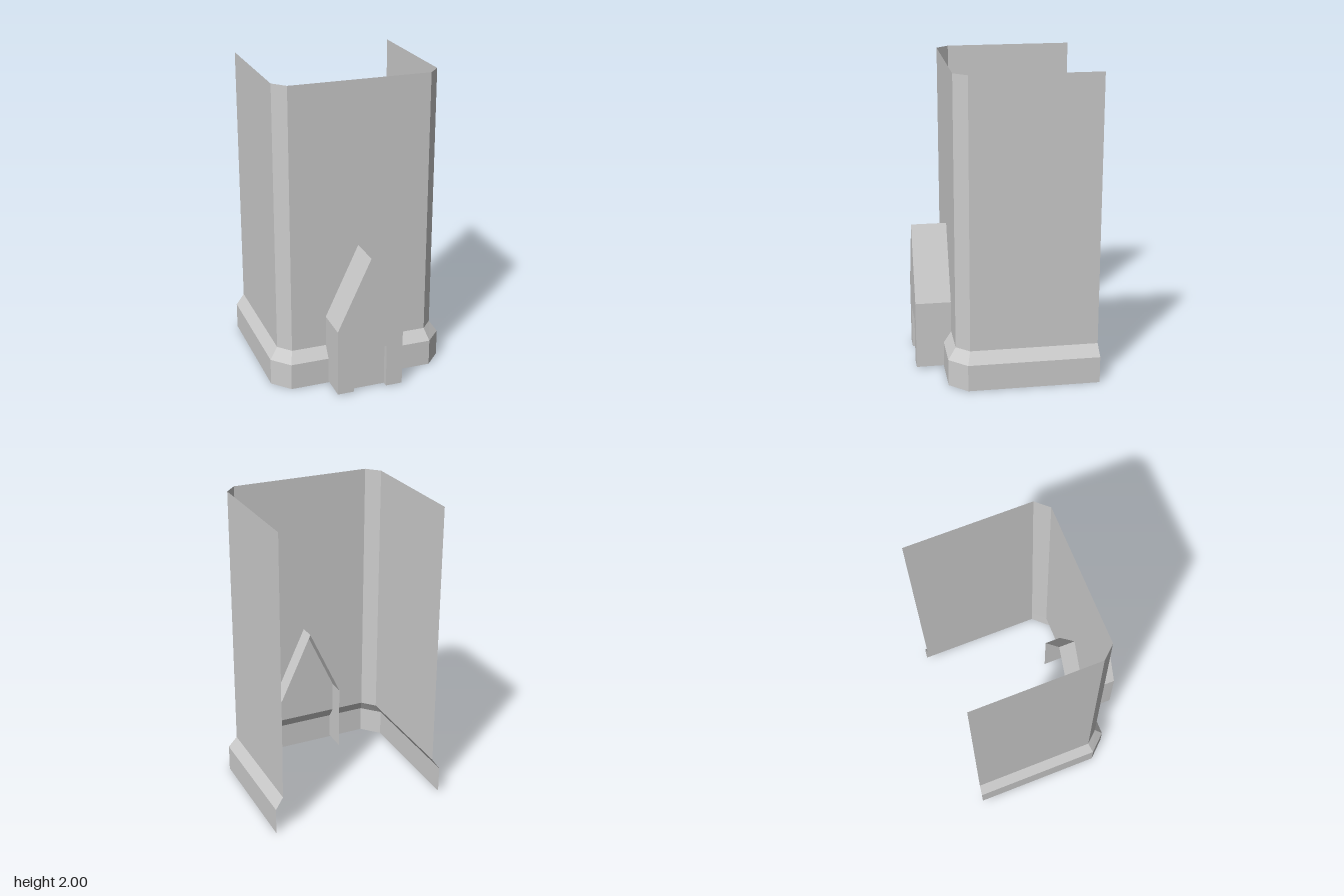
import * as THREE from 'three';

// Flat-faced strip through rows of points; each row has the same point count.
function loft(rows) {
  const pos = [];
  for (let r = 0; r < rows.length - 1; r++) {
    const a = rows[r], b = rows[r + 1];
    for (let i = 0; i < a.length - 1; i++) {
      pos.push(...a[i], ...a[i + 1], ...b[i + 1], ...a[i], ...b[i + 1], ...b[i]);
    }
  }
  const g = new THREE.BufferGeometry();
  g.setAttribute('position', new THREE.Float32BufferAttribute(pos, 3));
  g.computeVertexNormals();
  return g;
}

export function createModel() {
  const group = new THREE.Group();
  const stone = new THREE.MeshStandardMaterial({ color: 0xcccccc, side: THREE.DoubleSide });
  stone.name = 'stone grey';

  const add = (name, geometry, parent = group) => {
    const mesh = new THREE.Mesh(geometry, stone);
    mesh.name = name;
    parent.add(mesh);
    return mesh;
  };

  // Open-backed plan with chamfered front corners, at height y
  const plan = (y, side, back, cornerZ, cornerX, front) => {
    const half = [[side, back], [side, cornerZ], [cornerX, front]];
    return [
      ...half.map(([x, z]) => [-x, y, z]),
      ...half.reverse().map(([x, z]) => [x, y, z]),
    ];
  };
  const base = (y) => plan(y, 0.587, -0.57, 0.277, 0.482, 0.39);
  const shaft = (y) => plan(y, 0.535, -0.563, 0.257, 0.46, 0.34);

  // Tower: plinth, sloped ledge and tall walls
  add('plinth', loft([base(0), base(0.175)]));
  add('plinthLedge', loft([base(0.175), shaft(0.25)]));
  add('towerWalls', loft([shaft(0.25), shaft(2)]));

  // Gabled porch, open underneath and behind
  const porch = new THREE.Group();
  porch.name = 'porch';
  group.add(porch);

  const floor = 0.01, frontZ = 0.57, backZ = 0.23, doorZ = 0.533;
  const gable = [[-0.23, floor], [-0.23, 0.455], [-0.01, 0.925], [0.21, 0.455], [0.21, floor]];
  const door = [[0.1, floor], [0.1, 0.3], [-0.12, 0.3], [-0.12, floor]];
  const at = (points, z) => points.map(([x, y]) => [x, y, z]);
  const outline = (points) => new THREE.Shape(points.map(([x, y]) => new THREE.Vector2(x, y)));

  add('porchSidesAndRoof', loft([at(gable, frontZ), at(gable, backZ)]), porch);
  add('porchFront', new THREE.ShapeGeometry(outline([...gable, ...door])), porch).position.z = frontZ;

  // Recessed doorway
  add('doorFrame', loft([at(door, frontZ), at(door, doorZ)]), porch);
  add('door', new THREE.ShapeGeometry(outline(door)), porch).position.z = doorZ;

  return group;
}
